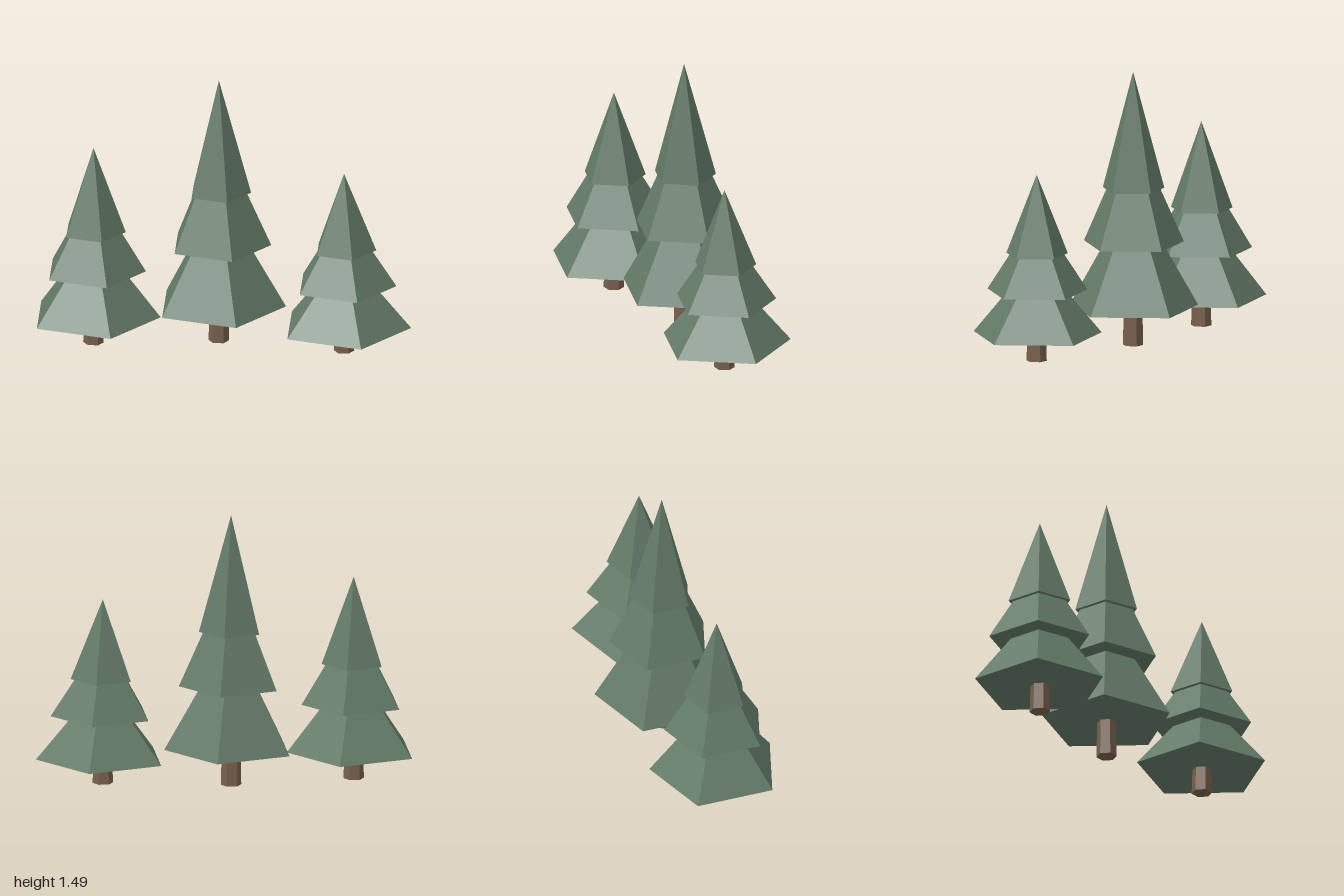
import * as THREE from 'three';

const foliage = new THREE.MeshStandardMaterial({ color: 0x637a68, flatShading: true });
foliage.name = 'foliage green';
const bark = new THREE.MeshStandardMaterial({ color: 0x78604c, flatShading: true });
bark.name = 'bark brown';

// Tiers: base height as a share of the tree height, and radius
const TIERS = [
  { name: 'lowerBranches', base: 0.135, radius: 0.36, height: 0.425 },
  { name: 'middleBranches', base: 0.37, radius: 0.281, height: 0.425 },
  { name: 'upperBranches', base: 0.57, radius: 0.173, height: 0.43 },
];

function addPart(tree, name, geometry, material, y) {
  geometry.rotateY(Math.PI / 2); // a corner points to +x
  const mesh = new THREE.Mesh(geometry, material);
  mesh.name = name;
  mesh.position.y = y;
  tree.add(mesh);
}

function createTree(name, x, z, height) {
  const tree = new THREE.Group();
  tree.name = name;
  tree.position.set(x, 0, z);

  // Six-sided trunk, tapering into the lowest tier
  const trunkHeight = height * 0.17;
  addPart(tree, 'trunk', new THREE.CylinderGeometry(0.049, 0.055, trunkHeight, 6), bark, trunkHeight / 2);

  // Five-sided overlapping cones
  for (const tier of TIERS) {
    const h = tier.height * height;
    addPart(tree, tier.name, new THREE.ConeGeometry(tier.radius, h, 5), foliage, tier.base * height + h / 2);
  }
  return tree;
}

export function createModel() {
  const model = new THREE.Group();
  model.name = 'pineTrees';
  model.add(
    createTree('rightTree', -0.707, 0.01, 1.11),
    createTree('middleTree', -0.04, -0.06, 1.485),
    createTree('leftTree', 0.637, 0.056, 1.01),
  );
  return model;
}
